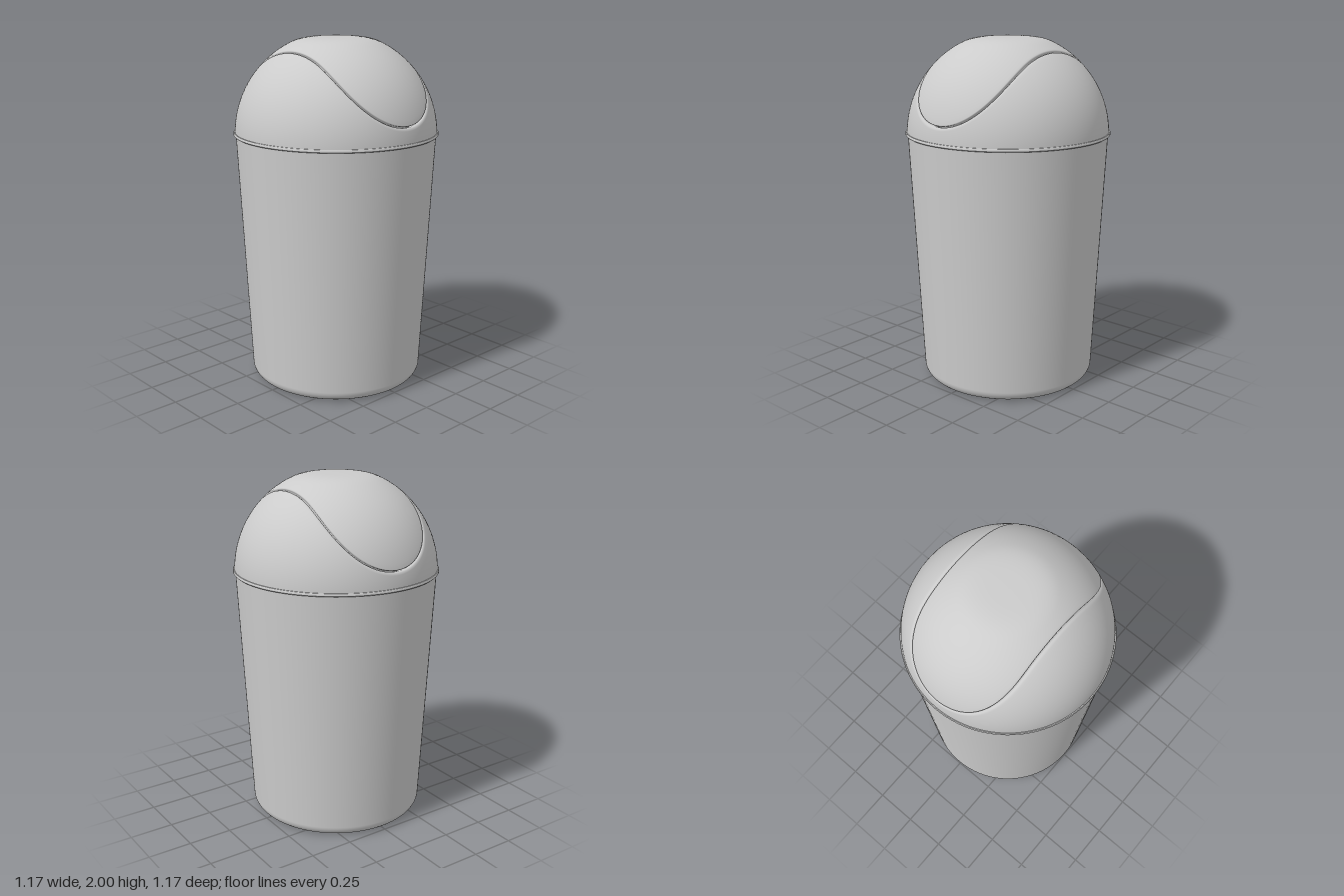
import * as THREE from 'three';
import { toCreasedNormals } from 'three/addons/utils/BufferGeometryUtils.js';

const DOME_R = 0.578, DOME_Y = 1.45;      // sphere the lid is cut from
const FLAP_R = 0.316, FLAP_Y = 1.877;     // U-shaped flap outline seen from the front
const TOP = 2.0, SEGS = 256;

// Point of the flap outline (relative to the dome centre), t runs once around the loop
function outline(t, radius) {
  const k = t * 4, quad = Math.floor(k) % 4;
  let f = k - Math.floor(k);
  if (quad % 2) f = 1 - f;
  const sx = quad < 2 ? 1 : -1, sz = quad === 0 || quad === 3 ? 1 : -1;
  const h = FLAP_Y - DOME_Y;
  if (f < 0.75) {
    const a = f / 0.75 * Math.PI / 2;
    const x = radius * Math.sin(a), y = h - radius * Math.cos(a);
    return new THREE.Vector3(sx * x, y, sz * Math.sqrt(DOME_R ** 2 - x * x - y * y));
  }
  const z = Math.sqrt(DOME_R ** 2 - radius ** 2 - h * h) * (1 - f) / 0.25;
  return new THREE.Vector3(sx * radius, Math.sqrt(DOME_R ** 2 - radius ** 2 - z * z), sz * z);
}

// Point on the same meridian as p, at the given angle from the pole
function onMeridian(p, polar) {
  const phi = Math.atan2(p.x, p.z);
  return new THREE.Vector3().setFromSphericalCoords(DOME_R, polar, phi);
}
const polarOf = p => Math.acos(p.y / DOME_R);

// Sink by a depth, lift to the dome centre and flatten the crown softly
function place(p, depth = 0) {
  p.multiplyScalar((DOME_R - depth) / DOME_R);
  const y = p.y + DOME_Y, k = 0.03, limit = TOP - depth;
  const h = Math.max(k - Math.abs(y - limit), 0) / k;
  p.y = Math.min(y, limit) - h * h * k / 4;
  return p;
}

// Closed rings, ordered from the pole downwards, joined into a smooth skin
function skin(rings) {
  const pos = [], index = [];
  rings.forEach(ring => {
    for (let j = 0; j < SEGS; j++) pos.push(...ring(j / SEGS).toArray());
  });
  for (let i = 0; i < rings.length - 1; i++) {
    for (let j = 0; j < SEGS; j++) {
      const n = (j + 1) % SEGS;
      const a = i * SEGS + j, b = i * SEGS + n, c = a + SEGS, d = b + SEGS;
      if (i > 0 || rings[0].pole !== true) index.push(a, c, b);
      index.push(b, c, d);
    }
  }
  const g = new THREE.BufferGeometry();
  g.setAttribute('position', new THREE.Float32BufferAttribute(pos, 3));
  g.setIndex(index);
  g.computeVertexNormals();
  return g;
}

// Ring following the outline at an offset and depth
const edgeRing = (offset, depth) => t => place(outline(t, FLAP_R + offset), depth);

function flapGeometry() {
  const rings = [], n = 28, inset = -0.008;
  for (let i = 0; i <= n; i++) {
    rings.push(t => {
      const p = outline(t, FLAP_R + inset);
      return place(onMeridian(p, polarOf(p) * i / n));
    });
  }
  // rounded edge, wall and groove floor
  [[-0.004, 0.002], [-0.002, 0.006], [-0.002, 0.035], [0.03, 0.036]]
    .forEach(([o, d]) => rings.push(edgeRing(o, d)));
  return skin(rings);
}

function lidGeometry() {
  const lip = [[0.004, 0.034], [0.004, 0.012], [0.007, 0.005], [0.012, 0.0015], [0.019, 0]];
  const rings = lip.map(([o, d]) => edgeRing(o, d));
  const n = 24, start = lip[lip.length - 1][0];
  for (let i = 1; i <= n; i++) {
    rings.push(t => {
      const p = outline(t, FLAP_R + start);
      return place(onMeridian(p, THREE.MathUtils.lerp(polarOf(p), Math.PI / 2, i / n)));
    });
  }
  return skin(rings);
}

const profile = pts => pts.map(([x, y]) => new THREE.Vector2(x, y));

// Tapered bucket with a rounded foot
function bodyGeometry() {
  const pts = [[0, 0], [0.43, 0]], r = 0.065;
  for (let i = 0; i <= 10; i++) {
    const a = i / 10 * (Math.PI / 2 - 0.05);
    pts.push([0.439 + r * Math.sin(a), r - r * Math.cos(a)]);
  }
  for (let i = 1; i <= 4; i++) {
    pts.push([THREE.MathUtils.lerp(0.504, 0.573, i / 4), THREE.MathUtils.lerp(0.062, 1.455, i / 4)]);
  }
  return new THREE.LatheGeometry(profile(pts), 128);
}

// Thin stepped band between bucket and lid
function rimGeometry() {
  const pts = [[0.56, 1.452], [0.582, 1.452], [0.586, 1.456], [0.586, 1.465],
    [0.583, 1.47], [0.56, 1.47]];
  return toCreasedNormals(new THREE.LatheGeometry(profile(pts), 128), 0.6);
}

export function createModel() {
  const model = new THREE.Group();
  model.name = 'swingLidBin';
  const grey = new THREE.MeshStandardMaterial({ color: 0xcccccc });
  const shell = new THREE.MeshStandardMaterial({ color: 0xcccccc, side: THREE.DoubleSide });
  const add = (name, geometry, material) => {
    const mesh = new THREE.Mesh(geometry, material);
    mesh.name = name;
    model.add(mesh);
  };
  add('body', bodyGeometry(), grey);
  add('rim', rimGeometry(), grey);
  add('lid', lidGeometry(), shell);
  add('swingFlap', flapGeometry(), shell);
  return model;
}
